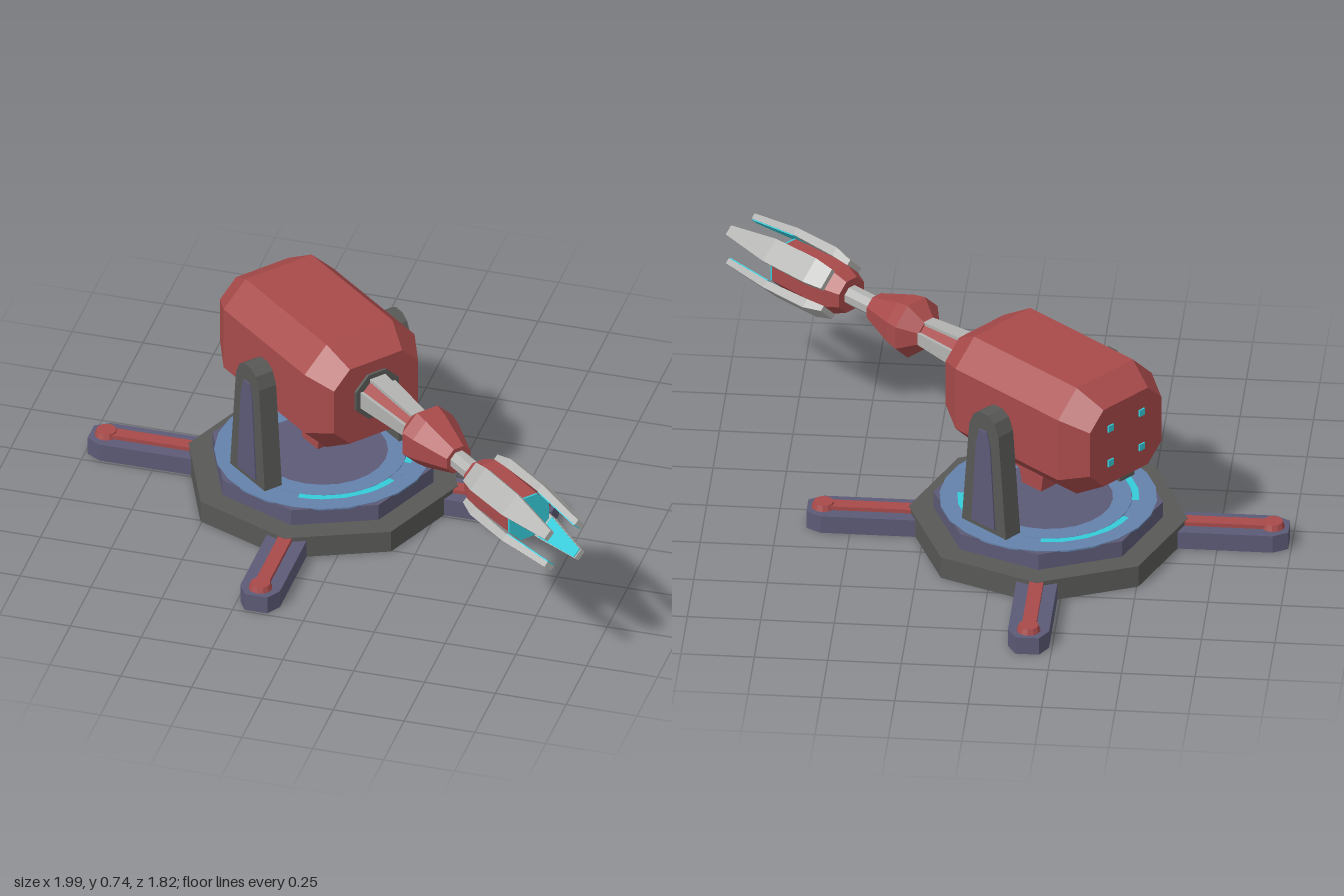
import * as THREE from 'three';

const mat = (name, color) => {
  const m = new THREE.MeshStandardMaterial({ color });
  m.name = name;
  return m;
};

// Faceted normals for the low-poly look
function flat(geo) {
  const g = geo.index ? geo.toNonIndexed() : geo;
  g.computeVertexNormals();
  return g;
}

function add(parent, name, geo, material) {
  const mesh = new THREE.Mesh(flat(geo), material);
  mesh.name = name;
  parent.add(mesh);
  return mesh;
}

// Closed solid through counter-clockwise loops of [x, y] set at rising z
function loft(sections) {
  const pos = [], idx = [], n = sections[0].loop.length, last = sections.length - 1;
  for (const s of sections) for (const [x, y] of s.loop) pos.push(x, y, s.z);
  for (let i = 0; i < last; i++) for (let j = 0; j < n; j++) {
    const k = (j + 1) % n, a = i * n + j, b = i * n + k;
    idx.push(a, b, b + n, a, b + n, a + n);
  }
  for (let j = 1; j < n - 1; j++) {
    idx.push(0, j + 1, j, last * n, last * n + j, last * n + j + 1);
  }
  const g = new THREE.BufferGeometry();
  g.setAttribute('position', new THREE.Float32BufferAttribute(pos, 3));
  g.setIndex(idx);
  return g;
}

// Rectangle with cut corners
const cutRect = (w, h, c) => [
  [w, c - h], [w, h - c], [w - c, h], [c - w, h],
  [-w, h - c], [-w, c - h], [c - w, -h], [w - c, -h]];

// Eight-sided turned part along z, from [radius, z] pairs
const turned = (pts) => new THREE.LatheGeometry(
  pts.map(([r, z]) => new THREE.Vector2(r, z)), 8, Math.PI / 8).rotateX(Math.PI / 2);

const polygon = (r, n) => Array.from({ length: n }, (_, i) =>
  new THREE.Vector2(r * Math.cos(i * 2 * Math.PI / n), r * Math.sin(i * 2 * Math.PI / n)));

// Flat ring lying on y, with n sides
function ring(rOut, rIn, n, y, height) {
  const s = new THREE.Shape(polygon(rOut, n));
  if (rIn) s.holes.push(new THREE.Path(polygon(rIn, n).reverse()));
  return new THREE.ExtrudeGeometry(s, { depth: height, bevelEnabled: false })
    .rotateX(-Math.PI / 2).translate(0, y, 0);
}

// Side profile of [z, y] points, thickened across x
function slab(pts, width) {
  const s = new THREE.Shape(pts.map(([z, y]) => new THREE.Vector2(z, y)));
  return new THREE.ExtrudeGeometry(s, { depth: width, bevelEnabled: false })
    .translate(0, 0, -width / 2).rotateY(-Math.PI / 2);
}

export function createModel() {
  const red = mat('red armour', 0xa84a4a);
  const dark = mat('dark grey metal', 0x585856);
  const purple = mat('purple grey metal', 0x5c5a76);
  const blue = mat('blue deck', 0x6482ab);
  const cyan = mat('cyan glow', 0x35cbd9);
  const silver = mat('silver metal', 0xb2b2b0);

  const root = new THREE.Group();
  root.name = 'turret';
  const base = new THREE.Group();
  base.name = 'base';
  const gun = new THREE.Group();
  gun.name = 'gun';
  base.position.set(-0.17, 0, -0.08);
  gun.position.copy(base.position);
  gun.rotation.y = 0.876;
  root.add(base, gun);

  // Open octagonal base and raised deck
  add(base, 'baseRing', ring(0.475, 0.355, 8, 0, 0.08), dark);
  add(base, 'deckRing', ring(0.39, 0.355, 8, 0.08, 0.06), purple);
  add(base, 'deckOuter', ring(0.37, 0.31, 24, 0.136, 0.006), blue);
  add(base, 'deckInner', ring(0.285, 0.22, 24, 0.136, 0.006), blue);
  add(base, 'deckCentre', ring(0.22, 0, 24, 0.136, 0.006), purple);
  // Broken light ring: long cyan arcs with short gaps
  for (let i = 0; i < 16; i++) {
    const a0 = i * Math.PI / 8, lit = i % 4 !== 3;
    const s = new THREE.Shape();
    s.absarc(0, 0, 0.31, a0, a0 + Math.PI / 8, false);
    s.absarc(0, 0, 0.285, a0 + Math.PI / 8, a0, true);
    const g = new THREE.ExtrudeGeometry(s, { depth: 0.006, bevelEnabled: false, curveSegments: 2 })
      .rotateX(-Math.PI / 2).translate(0, 0.136, 0);
    add(base, lit ? 'lightArc' : 'lightGap', g, lit ? cyan : blue);
  }

  // Four legs with red strips and feet buttons
  for (let i = 0; i < 4; i++) {
    const leg = new THREE.Group();
    leg.name = 'leg';
    leg.rotation.y = i * Math.PI / 2;
    base.add(leg);
    const s = new THREE.Shape([[-0.07, 0.4], [0.07, 0.4], [0.07, 0.77], [0.04, 0.82],
      [-0.04, 0.82], [-0.07, 0.77]].map(([x, z]) => new THREE.Vector2(x, -z)));
    add(leg, 'legBeam', new THREE.ExtrudeGeometry(s, { depth: 0.064, bevelEnabled: false })
      .rotateX(-Math.PI / 2), purple);
    add(leg, 'legStrip', new THREE.BoxGeometry(0.048, 0.02, 0.33).translate(0, 0.068, 0.6), red);
    add(leg, 'legButton', new THREE.CylinderGeometry(0.034, 0.043, 0.026, 12)
      .translate(0, 0.071, 0.765), red);
  }

  // Two tapered stands holding the body
  const arch = [[-0.105, 0.14], [0.105, 0.14], [0.07, 0.53], [0.05, 0.575], [0.02, 0.595],
    [-0.02, 0.595], [-0.05, 0.575], [-0.07, 0.53]];
  const inset = [[-0.055, 0.16], [0.055, 0.16], [0.034, 0.47], [0.018, 0.53],
    [-0.018, 0.53], [-0.034, 0.47]];
  for (const side of [-1, 1]) {
    add(gun, 'stand', slab(arch, 0.07), dark).position.x = side * 0.275;
    add(gun, 'standPanel', slab(inset, 0.008), purple).position.x = side * 0.311;
    add(gun, 'axle', new THREE.CylinderGeometry(0.045, 0.045, 0.08, 8).rotateZ(Math.PI / 2),
      dark).position.set(side * 0.22, 0.5, 0);
  }

  // Main body with narrowed ends
  const wide = cutRect(0.225, 0.2075, 0.09), narrow = cutRect(0.172, 0.15, 0.065);
  add(gun, 'body', loft([{ z: -0.37, loop: narrow }, { z: -0.27, loop: wide },
    { z: 0.22, loop: wide }, { z: 0.32, loop: narrow }]), red).position.y = 0.5275;
  for (const x of [-0.075, 0.075]) for (const y of [0.46, 0.595]) {
    add(gun, 'rearLight', new THREE.BoxGeometry(0.025, 0.025, 0.008), cyan)
      .position.set(x, y, -0.372);
  }

  // Sensor pod below the body
  add(gun, 'pod', slab([[-0.05, 0.33], [-0.03, 0.2], [0.062, 0.2], [0.072, 0.25],
    [0.122, 0.265], [0.122, 0.33]], 0.13), red);
  add(gun, 'podLens', new THREE.BoxGeometry(0.07, 0.04, 0.008), cyan).position.set(0, 0.292, 0.124);
  add(gun, 'podLowerLens', new THREE.BoxGeometry(0.07, 0.024, 0.008), cyan)
    .position.set(0, 0.228, 0.069);

  // Arm running forward from the body
  const arm = new THREE.Group();
  arm.name = 'arm';
  arm.position.y = 0.545;
  gun.add(arm);
  add(arm, 'socket', turned([[0, 0.3], [0.095, 0.3], [0.095, 0.33], [0, 0.33]]), dark);
  add(arm, 'upperArm', turned([[0, 0.3], [0.07, 0.3], [0.046, 0.6], [0, 0.6]]), red);
  for (const a of [-1, 0, 1]) {
    const box = (h, r) => [[h, r - 0.012], [h, r], [-h, r], [-h, r - 0.012]];
    add(arm, 'armPlate', loft([{ z: 0.32, loop: box(0.032, 0.072) },
      { z: 0.59, loop: box(0.022, 0.052) }]), silver).rotation.z = a * Math.PI / 2;
  }
  add(arm, 'elbow', turned([[0, 0.57], [0.055, 0.57], [0.11, 0.63], [0.1, 0.68],
    [0.052, 0.82], [0, 0.82]]), red);
  add(arm, 'wrist', turned([[0, 0.8], [0.036, 0.8], [0.036, 0.97], [0, 0.97]]), silver);
  add(arm, 'hand', turned([[0, 0.94], [0.065, 0.94], [0.092, 1.0], [0.088, 1.24],
    [0, 1.24]]), red);
  add(arm, 'emitter', turned([[0, 1.24], [0.088, 1.24], [0.088, 1.247], [0, 1.247]]), cyan);

  // Four diagonal claws, glowing on the inside near the tips
  const bar = (z, rIn, rOut, h) => ({ z, loop: [[h, rIn], [h, rOut], [-h, rOut], [-h, rIn]] });
  for (let i = 0; i < 4; i++) {
    const claw = new THREE.Group();
    claw.name = 'claw';
    claw.rotation.z = Math.PI / 4 + i * Math.PI / 2;
    arm.add(claw);
    add(claw, 'clawBlade', loft([bar(0.99, 0.08, 0.1, 0.038), bar(1.06, 0.085, 0.117, 0.046),
      bar(1.25, 0.09, 0.117, 0.044), bar(1.46, 0.078, 0.098, 0.018)]), silver);
    add(claw, 'clawGlow', loft([bar(1.25, 0.086, 0.09, 0.042), bar(1.455, 0.074, 0.078, 0.017)]),
      cyan);
  }
  return root;
}
